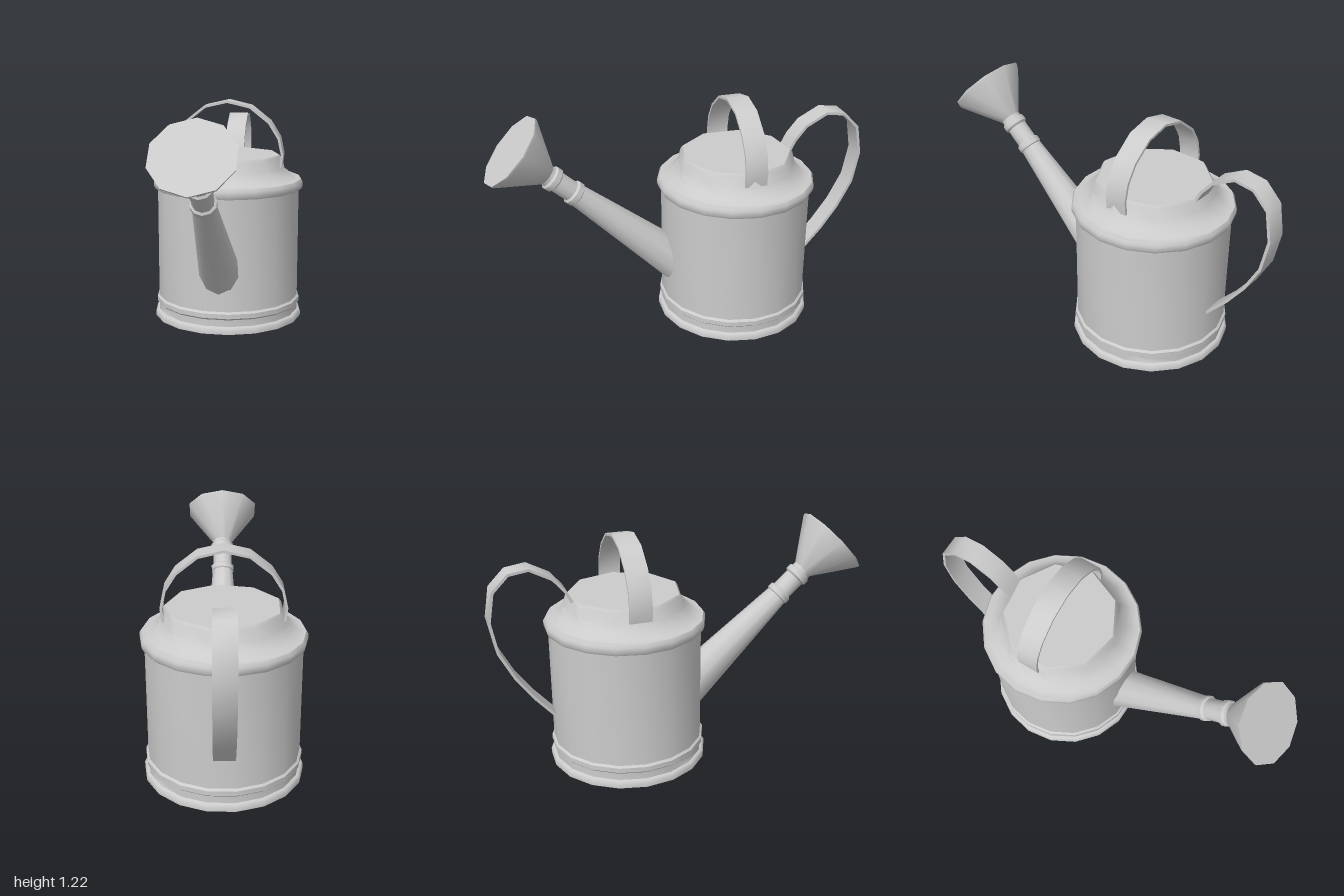
import * as THREE from 'three';
import { toCreasedNormals } from 'three/addons/utils/BufferGeometryUtils.js';

const BODY_Z = -0.3;                 // centre of the can
const TILT = 0.838;                  // spout axis leans from +y towards +z
const FACE = [0, 1.067, 0.865];      // centre of the sprinkler face

const material = new THREE.MeshStandardMaterial({ color: 0xcccccc, side: THREE.DoubleSide });
const vecs = (list) => list.map(([x, y]) => new THREE.Vector2(x, y));

function part(name, geometry, crease = 0.75) {
  const mesh = new THREE.Mesh(toCreasedNormals(geometry, crease), material);
  mesh.name = name;
  return mesh;
}

// Can: open underneath, 18 sides that narrow to a 9-sided neck and lid
function bodyGeometry() {
  const profile = vecs([
    [0.415, 0], [0.415, 0.025], [0.406, 0.036], [0.395, 0.038],
    [0.395, 0.075], [0.406, 0.085], [0.406, 0.11], [0.395, 0.12],
    [0.395, 0.73], [0.408, 0.73], [0.416, 0.745], [0.416, 0.77], [0.406, 0.785],
    [0.375, 0.785], [0.34, 0.815], [0.315, 0.845], [0.3, 0.9], [0.288, 0.915], [0, 0.915],
  ]);
  const geometry = new THREE.LatheGeometry(profile, 18, THREE.MathUtils.degToRad(8));
  const pos = geometry.attributes.position;
  for (let i = 0; i < pos.count; i++) {
    const odd = Math.floor(i / profile.length) % 2;
    if (odd && pos.getY(i) > 0.83) {
      const s = Math.cos(Math.PI / 9);
      pos.setX(i, pos.getX(i) * s);
      pos.setZ(i, pos.getZ(i) * s);
    }
  }
  return geometry.translate(0, 0, BODY_Z);
}

// Tapered spout, its lower end trimmed to just inside the can wall
function spoutGeometry() {
  const sides = 10, length = 0.754;
  const geometry = new THREE.CylinderGeometry(0.058, 0.115, length, sides, 1, true);
  geometry.translate(0, -0.406 - length / 2, 0).rotateX(TILT).translate(...FACE);
  const pos = geometry.attributes.position;
  const a = new THREE.Vector3(), b = new THREE.Vector3();
  for (let i = 0; i <= sides; i++) {
    a.fromBufferAttribute(pos, i);
    b.fromBufferAttribute(pos, i + sides + 1);
    const wall = BODY_Z + Math.sqrt(0.39 ** 2 - b.x ** 2) - 0.02;
    b.lerp(a, (wall - b.z) / (a.z - b.z));
    pos.setXYZ(i + sides + 1, b.x, b.y, b.z);
  }
  return geometry;
}

// Lathe around the spout axis, heights measured from the sprinkler face
function onSpoutAxis(profile) {
  return new THREE.LatheGeometry(vecs(profile), 10).rotateX(TILT).translate(...FACE);
}

// Flat metal strap that follows a 2D path
function ribbonGeometry(path, width, thickness) {
  const pts = vecs(path);
  const side = (sign) => pts.map((p, i) => {
    const t = pts[Math.min(i + 1, pts.length - 1)].clone().sub(pts[Math.max(i - 1, 0)]).normalize();
    return new THREE.Vector2(p.x - t.y * sign * thickness / 2, p.y + t.x * sign * thickness / 2);
  });
  const shape = new THREE.Shape([...side(1), ...side(-1).reverse()]);
  return new THREE.ExtrudeGeometry(shape, { depth: width, bevelEnabled: false })
    .translate(0, 0, -width / 2);
}

export function createModel() {
  const group = new THREE.Group();
  group.name = 'wateringCan';

  group.add(part('body', bodyGeometry()));
  group.add(part('spout', spoutGeometry()));

  // Neck with a collar at each end
  group.add(part('spoutNeck', onSpoutAxis([[0.055, -0.41], [0.055, -0.21]])));
  for (const d of [-0.406, -0.265]) {
    group.add(part('spoutCollar', onSpoutAxis([
      [0.054, d - 0.024], [0.066, d - 0.014], [0.066, d + 0.014], [0.054, d + 0.024],
    ])));
  }

  // Sprinkler head
  group.add(part('sprinklerHead', onSpoutAxis([
    [0.055, -0.225], [0.202, -0.012], [0.204, 0], [0, 0],
  ])));

  // Carrying handle arching over the lid
  const half = [[0.295, 0.85], [0.303, 0.92], [0.283, 1.01], [0.23, 1.095], [0.125, 1.178]];
  const arch = [...half, [0, 1.207], ...half.map(([x, y]) => [-x, y]).reverse()];
  const top = part('topHandle', ribbonGeometry(arch, 0.115, 0.013));
  top.position.z = BODY_Z;
  group.add(top);

  // Pouring handle: path given as distance towards the back, height
  const loop = [
    [0.58, 0.9], [0.61, 0.958], [0.67, 1.03], [0.783, 1.09], [0.885, 1.075], [0.965, 0.993],
    [0.991, 0.84], [0.96, 0.675], [0.885, 0.53], [0.795, 0.405], [0.685, 0.28],
  ];
  const back = part('backHandle', ribbonGeometry(loop, 0.11, 0.015));
  back.rotation.y = Math.PI / 2;
  group.add(back);

  return group;
}
